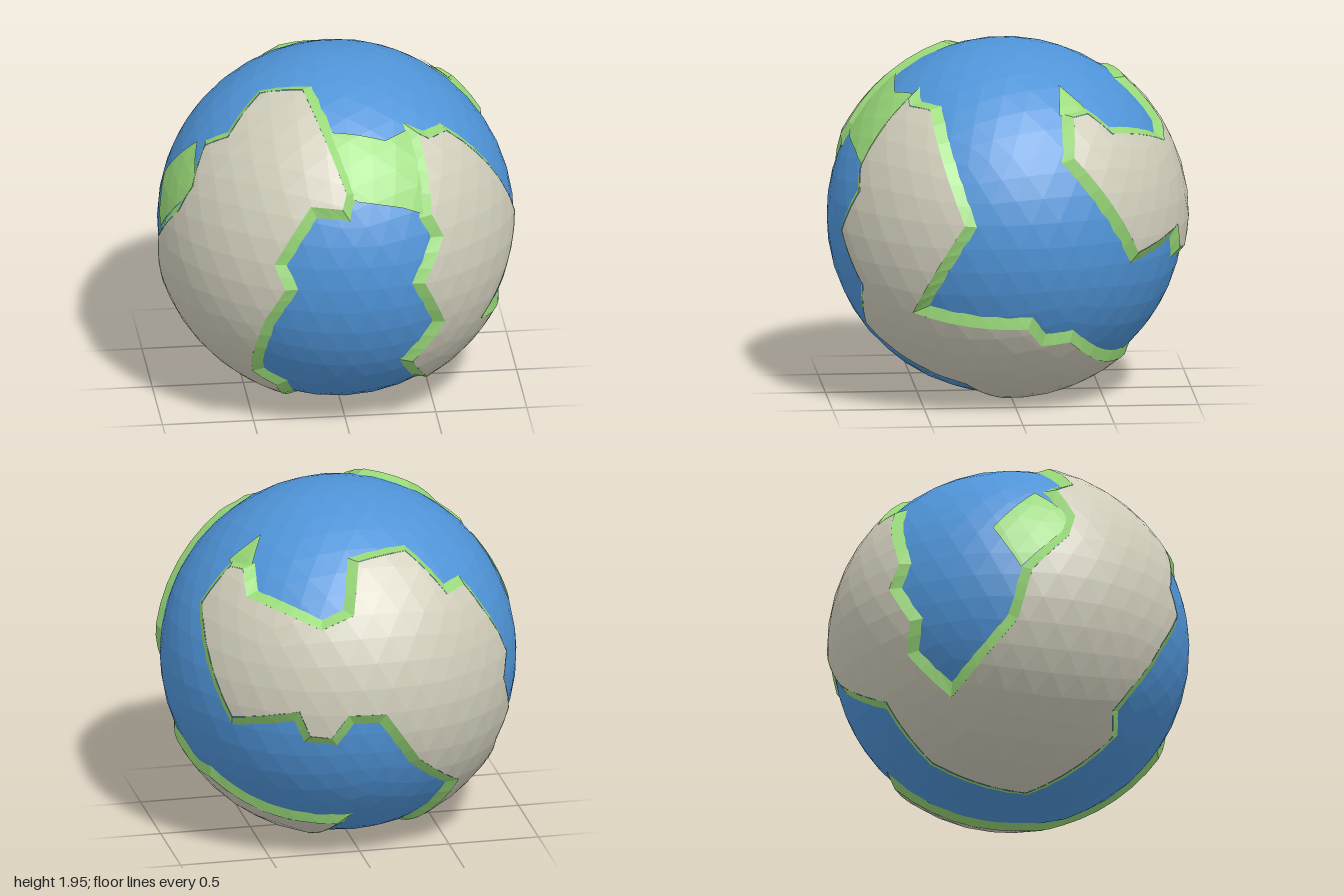
import * as THREE from 'three';

const CENTRE = new THREE.Vector3(0.004, 0.989, 0.018);
const SEA = 0.974, LAND = 1.005, SHOAL = 0.983, SLOPE = 0.062;

const V = (x, y, z) => new THREE.Vector3(x, y, z);
const paint = (color) => new THREE.MeshStandardMaterial({ color, flatShading: true, side: THREE.DoubleSide });
const blue = paint(0x4f94d8), green = paint(0x98d878), sand = paint(0xd0cdbb);

// Unit direction of a point (u right, v up) on the globe as it faces a given azimuth and elevation
function facing(azimuth, elevation) {
  const a = THREE.MathUtils.degToRad(azimuth), e = THREE.MathUtils.degToRad(elevation);
  const right = V(Math.cos(a), 0, -Math.sin(a));
  const up = V(-Math.sin(a) * Math.sin(e), Math.cos(e), -Math.cos(a) * Math.sin(e));
  const out = V(Math.sin(a) * Math.cos(e), Math.sin(e), Math.cos(a) * Math.cos(e));
  return (...pairs) => pairs.map(([u, v]) => {
    const w = Math.sqrt(Math.max(0, LAND * LAND - u * u - v * v));
    return V(0, 0, 0).addScaledVector(right, u).addScaledVector(up, v).addScaledVector(out, w).normalize();
  });
}
const front = facing(0, 0), side = facing(90, 0), top = facing(0, 90);
const backAbove = facing(215, 25), backBelow = facing(145, -25);

// Faceted sphere with a vertex at each pole
function facetedSphere(radius) {
  return new THREE.IcosahedronGeometry(radius, 7).rotateX(-Math.atan((1 + Math.sqrt(5)) / 2));
}

function meshOf(name, positions, material) {
  const g = new THREE.BufferGeometry();
  g.setAttribute('position', new THREE.Float32BufferAttribute(positions, 3));
  g.computeVertexNormals();
  const mesh = new THREE.Mesh(g, material);
  mesh.name = name;
  return mesh;
}

// Keep the part of a convex polygon on the positive side of a plane through the centre
function clip(poly, n) {
  const result = [];
  poly.forEach((p, i) => {
    const q = poly[(i + 1) % poly.length], dp = p.dot(n), dq = q.dot(n);
    if (dp >= 0) result.push(p);
    if (dp * dq < 0) result.push(p.clone().lerp(q, dp / (dp - dq)));
  });
  return result;
}

// Cut an outline out of the faceted sphere; the outline must lie in the hemisphere around axis
function spherePatch(name, outline, axis, radius, material) {
  const turn = new THREE.Quaternion().setFromUnitVectors(axis.clone().normalize(), V(0, 0, 1));
  const flat = outline.map((p) => {
    const q = p.clone().applyQuaternion(turn);
    return new THREE.Vector2(q.x / q.z, q.y / q.z);
  });
  const cones = THREE.ShapeUtils.triangulateShape(flat, []).map((ids) => {
    const [a, b, c] = ids.map((i) => outline[i]);
    const s = Math.sign(a.dot(b.clone().cross(c)));
    return [[a, b], [b, c], [c, a]].map(([p, q]) => p.clone().cross(q).multiplyScalar(s));
  });
  const pos = facetedSphere(radius).getAttribute('position'), out = [];
  for (let i = 0; i < pos.count; i += 3) {
    const face = [0, 1, 2].map((k) => new THREE.Vector3().fromBufferAttribute(pos, i + k));
    for (const planes of cones) {
      const poly = planes.reduce((p, n) => (p.length ? clip(p, n) : p), face);
      for (let k = 2; k < poly.length; k++) {
        for (const p of [poly[0], poly[k - 1], poly[k]]) out.push(p.x, p.y, p.z);
      }
    }
  }
  return meshOf(name, out, material);
}

// Sloping green bank around a counter-clockwise coast
function coastBank(name, coast) {
  const n = coast.length, out = [];
  const feet = coast.map((p, i) => {
    const a = coast[(i + n - 1) % n].clone().cross(p).normalize();
    const b = p.clone().cross(coast[(i + 1) % n]).normalize();
    const k = SLOPE / Math.max(0.55, 1 + a.dot(b));
    return p.clone().addScaledVector(a.add(b), -k).normalize();
  });
  const along = (p, q, t, r) => p.clone().lerp(q, t).normalize().multiplyScalar(r);
  coast.forEach((p, i) => {
    const j = (i + 1) % n, steps = Math.max(1, Math.ceil(p.distanceTo(coast[j]) / 0.12));
    for (let s = 0; s < steps; s++) {
      const t0 = s / steps, t1 = (s + 1) / steps;
      const a = along(p, coast[j], t0, LAND), b = along(p, coast[j], t1, LAND);
      const c = along(feet[i], feet[j], t0, SEA - 0.004), d = along(feet[i], feet[j], t1, SEA - 0.004);
      for (const q of [a, c, d, a, d, b]) out.push(q.x, q.y, q.z);
    }
  });
  return meshOf(name, out, green);
}

export function createModel() {
  const model = new THREE.Group();
  model.name = 'globe';
  const globe = new THREE.Group();
  globe.name = 'globeBody';
  globe.position.copy(CENTRE);
  model.add(globe);

  const ocean = new THREE.Mesh(facetedSphere(SEA), blue);
  ocean.name = 'ocean';
  globe.add(ocean);

  // Back half of the great continent, from the western bay over the top to the southern narrows
  const backCoast = [
    ...backAbove([0.436, -0.844], [0.325, -0.711], [0.397, -0.572], [0.286, -0.4], [0.342, -0.261],
      [0.186, 0.017], [0.119, 0.167]),
    ...top([-0.452, 0.706], [-0.245, 0.584], [0.032, 0.653], [0.101, 0.85], [0.282, 0.85],
      [0.633, 0.536], [0.622, 0.403], [0.676, 0.323], [0.83, 0.313]),
    ...side([0.672, -0.075]),
    ...backBelow([0.18, 0.433], [0.236, 0.294], [0.347, 0.272], [0.436, 0.383], [0.614, 0.333],
      [0.736, -0.028], [0.808, -0.4], [0.53, -0.71]),
  ];
  // Front half, up the facing shore and back down the western side
  const frontCoast = [
    ...front([-0.225, -0.975], [-0.39, -0.726], [-0.522, -0.631], [-0.538, -0.509], [-0.485, -0.207],
      [-0.379, 0.004], [-0.437, 0.142], [-0.231, 0.465], [-0.061, 0.454], [-0.035, 0.528]),
    ...top([-0.218, -0.325], [-0.441, -0.23], [-0.633, -0.374], [-0.75, -0.289], [-0.83, -0.395]),
    ...backAbove([0.947, 0.139], [0.908, -0.167], [0.842, -0.444]),
  ];
  const narrows = backCoast[backCoast.length - 1];
  globe.add(spherePatch('backContinent', backCoast, V(0.05, 0, -1), LAND, sand));
  globe.add(spherePatch('frontContinent', [narrows, ...frontCoast, backCoast[0]], V(-0.65, -0.1, 0.45), LAND, sand));
  globe.add(coastBank('greatContinentBank', [...backCoast, ...frontCoast]));

  // Side continent, running from the front down under the globe
  const sideCoast = [
    ...front([0.395, 0.735], [0.436, 0.37], [0.499, 0.242], [0.388, 0.004], [0.51, -0.28],
      [0.335, -0.525], [0.484, -0.842], [0.275, -0.966]),
    ...backBelow([0.247, -0.428]),
    ...side([0.469, -0.717], [0.292, -0.561], [0.132, -0.572], [0.052, -0.465], [-0.563, -0.39],
      [-0.296, 0.128], [-0.456, 0.7]),
    ...front([0.452, 0.703]),
  ];
  globe.add(spherePatch('sideContinent', sideCoast, V(0.68, -0.4, 0.35), LAND, sand));
  globe.add(coastBank('sideContinentBank', sideCoast));

  // Low green ground between and beside the continents
  const lowlands = {
    landBridge: front([-0.15, 0.8], [0.055, 0.787], [0.21, 0.75], [0.34, 0.77], [0.4, 0.72],
      [0.42, 0.37], [0.28, 0.435], [0.03, 0.49], [-0.035, 0.53]),
    westernLowland: backAbove([0.753, 0.4], [0.753, 0.028], [0.88, -0.167], [0.93, 0.14], [0.907, 0.3]),
    capeLowland: top([0.5, 0.26], [0.58, 0.4], [0.676, 0.323], [0.68, 0.25]),
  };
  for (const [name, outline] of Object.entries(lowlands)) {
    const axis = outline.reduce((sum, p) => sum.add(p), V(0, 0, 0));
    globe.add(spherePatch(name, outline, axis, SHOAL, green));
  }
  return model;
}
